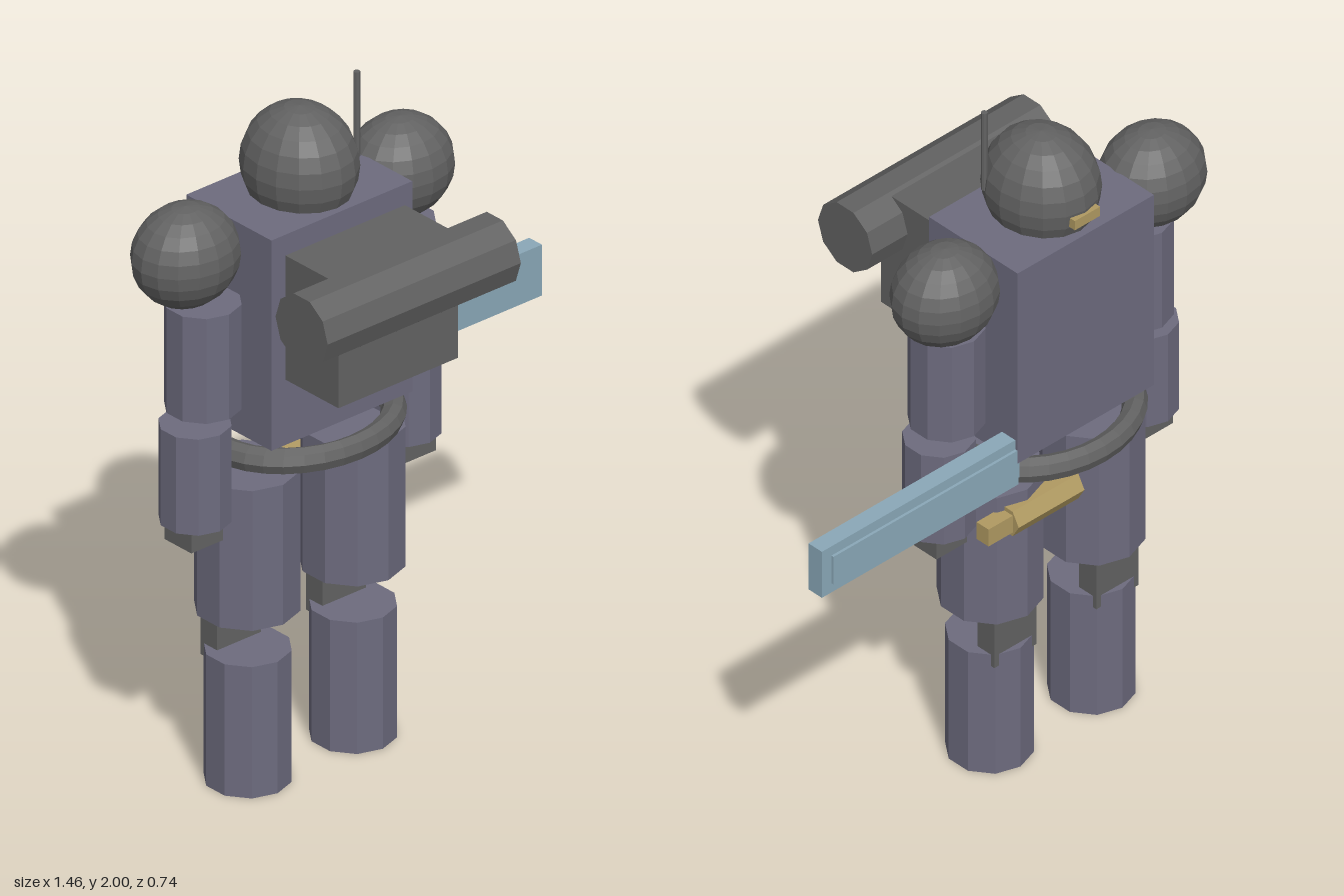
import * as THREE from 'three';

const CX = -0.206, CZ = -0.118; // body axis

function material(name, color) {
  const m = new THREE.MeshStandardMaterial({ color });
  m.name = name;
  return m;
}

// Faceted copy of a geometry
function faceted(geo) {
  const g = geo.index ? geo.toNonIndexed() : geo;
  g.computeVertexNormals();
  return g;
}

export function createModel() {
  const armour = material('slate armour', 0x6d6b7e);
  const joint = material('dark grey', 0x626262);
  const blue = material('pale blue', 0x8aa8b8);
  const brass = material('brass', 0xb09a62);

  const model = new THREE.Group();
  model.name = 'robot';

  function add(name, geo, mat, x, y, z) {
    const mesh = new THREE.Mesh(faceted(geo), mat);
    mesh.name = name;
    mesh.position.set(x, y, z);
    model.add(mesh);
    return mesh;
  }
  const box = (w, h, d) => new THREE.BoxGeometry(w, h, d);
  const tube = (r, h, n = 10) => new THREE.CylinderGeometry(r, r, h, n);
  const ball = (rx, ry, rz) => new THREE.SphereGeometry(1, 16, 12).scale(rx, ry, rz);

  // Torso, head, visor and antenna
  add('torso', box(0.487, 0.62, 0.333), armour, CX, 1.36, -0.121);
  add('head', ball(0.15, 0.167, 0.167), joint, CX, 1.748, CZ - 0.002);
  add('visor', box(0.09, 0.03, 0.04), brass, CX, 1.725, -0.274);
  add('antenna', tube(0.009, 0.25, 8), joint, -0.077, 1.875, -0.042);

  // Oval belt ring
  add('belt', new THREE.TorusGeometry(0.263, 0.037, 8, 32).rotateX(Math.PI / 2).scale(1, 1, 0.833),
    joint, CX, 0.995, CZ - 0.002);

  // Arms and legs, mirrored about the body axis
  for (const [side, s] of [['left', 1], ['right', -1]]) {
    add(side + 'Shoulder', ball(0.154, 0.143, 0.133), joint, CX + s * 0.37, 1.597, -0.147);
    add(side + 'UpperArm', tube(0.103, 0.309), armour, CX + s * 0.336, 1.306, CZ);
    add(side + 'Forearm', tube(0.097, 0.283), armour, CX + s * 0.363, 0.97, CZ);
    add(side + 'Hand', box(0.109, 0.106, 0.106), joint, CX + s * 0.368, 0.82, CZ);
    add(side + 'Thigh', tube(0.141, 0.412), armour, CX + s * 0.182, 0.712, CZ - 0.001);
    add(side + 'Knee', box(0.151, 0.2, 0.064), joint, CX + s * 0.182, 0.45, -0.183);
    add(side + 'Shin', tube(0.117, 0.387), armour, CX + s * 0.182, 0.1935, -0.117);
  }

  // Backpack with a horizontal canister
  add('backpack', box(0.413, 0.366, 0.207), joint, CX, 1.435, 0.162);
  add('canister', tube(0.102, 0.668).rotateZ(Math.PI / 2), joint, -0.207, 1.528, 0.267);

  // Blade with a thin raised panel on its outer face
  add('blade', box(0.703, 0.15, 0.05), blue, 0.377, 1.047, -0.254);
  add('bladePanel', box(0.665, 0.09, 0.008), blue, 0.362, 1.047, -0.283);

  // Small sidearm: hexagonal barrel and block grip
  add('sidearmBarrel', tube(0.046, 0.235, 6).rotateZ(Math.PI / 2), brass, -0.079, 0.844, -0.247);
  add('sidearmGrip', box(0.1, 0.055, 0.045), brass, 0.075, 0.844, -0.248);

  return model;
}
